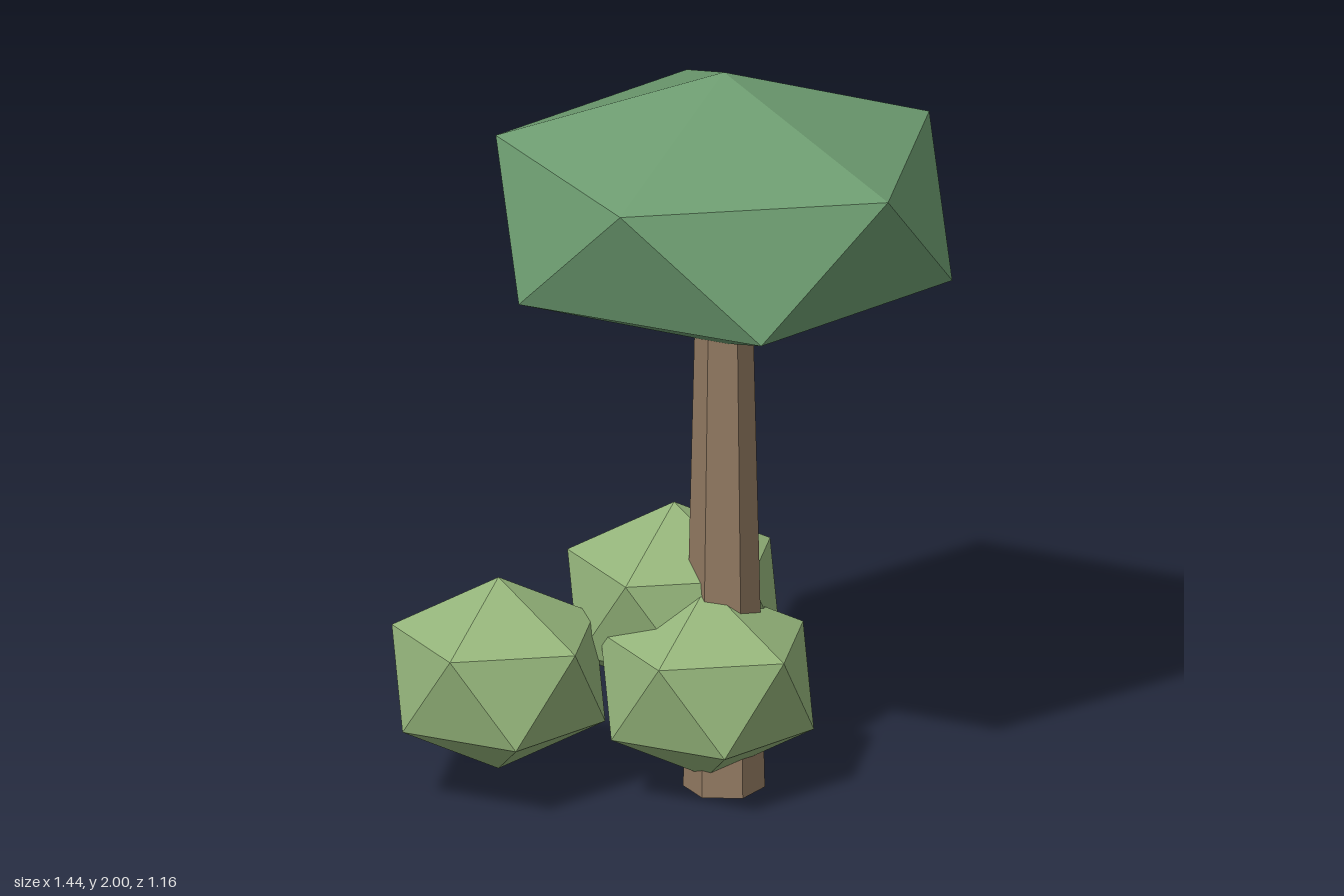
import * as THREE from 'three';

const material = (color) => new THREE.MeshStandardMaterial({ color, flatShading: true });

// Low-poly foliage: a 20-sided ball standing on a corner, one upper-ring corner toward +x
function foliage(name, mat, [x, y, z], width, height) {
  const geometry = new THREE.IcosahedronGeometry(1, 0);
  geometry.rotateZ(-Math.atan(2 / (1 + Math.sqrt(5))));
  geometry.scale(width, height, width);
  geometry.computeVertexNormals();
  const mesh = new THREE.Mesh(geometry, mat);
  mesh.name = name;
  mesh.position.set(x, y, z);
  return mesh;
}

export function createModel() {
  const model = new THREE.Group();
  model.name = 'treeWithBushes';
  const bark = material(0x927a62);
  const leaf = material(0x6d9c70);
  const bushLeaf = material(0x94b47a);

  // Tapered six-sided trunk, its top hidden in the canopy
  const trunkHeight = 1.35;
  const trunk = new THREE.Mesh(new THREE.CylinderGeometry(0.076, 0.108, trunkHeight, 6), bark);
  trunk.name = 'trunk';
  trunk.position.set(0.112, trunkHeight / 2, 0);
  model.add(trunk);

  // Wide, flattened canopy
  model.add(foliage('canopy', leaf, [0.112, 1.62, 0], 0.68, 0.38));

  // Three bushes around the foot of the trunk
  const bushes = [
    ['rightBush', [-0.435, 0.333, -0.235]],
    ['frontBush', [0.058, 0.307, 0.008]],
    ['backBush', [0.07, 0.47, -0.205]],
  ];
  for (const [name, position] of bushes) {
    model.add(foliage(name, bushLeaf, position, 0.318, 0.268));
  }

  return model;
}
